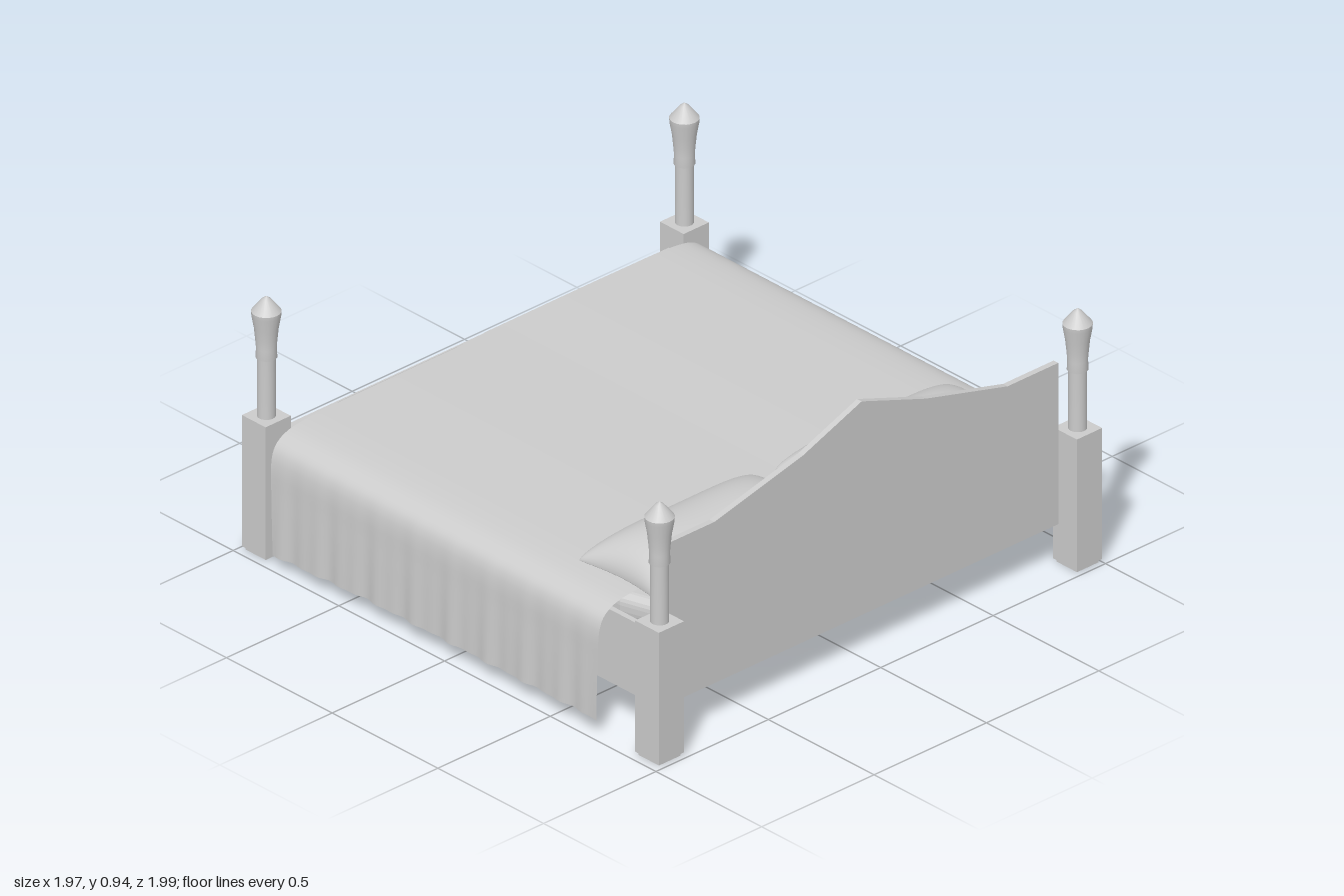
import * as THREE from 'three';
import { mergeVertices } from 'three/addons/utils/BufferGeometryUtils.js';

const grey = new THREE.MeshStandardMaterial({ color: 0xcccccc });
const cloth = new THREE.MeshStandardMaterial({ color: 0xcccccc, side: THREE.DoubleSide });

function add(parent, name, geometry, x = 0, y = 0, z = 0, material = grey) {
  const mesh = new THREE.Mesh(geometry, material);
  mesh.name = name;
  mesh.position.set(x, y, z);
  parent.add(mesh);
  return mesh;
}

const polygon = (points) => new THREE.Shape(points.map(([a, b]) => new THREE.Vector2(a, b)));

// Board drawn in (z, y) and extruded towards -x
function boardGeometry(shape, depth) {
  return new THREE.ExtrudeGeometry(shape, { depth, bevelEnabled: false }).rotateY(-Math.PI / 2);
}

// Raised rectangular moulding
function mouldingGeometry(w, h, border, depth) {
  const rect = (a, b) => [[-a, -b], [a, -b], [a, b], [-a, b]];
  const shape = polygon(rect(w / 2, h / 2));
  shape.holes.push(polygon(rect(w / 2 - border, h / 2 - border)));
  return boardGeometry(shape, depth);
}

// Square leg with a turned finial
function createPost() {
  const post = new THREE.Group();
  post.name = 'post';
  add(post, 'postFoot', new THREE.BoxGeometry(0.096, 0.012, 0.096), 0, 0.006, 0);
  add(post, 'postBlock', new THREE.BoxGeometry(0.112, 0.488, 0.112), 0, 0.256, 0);
  const profile = [[0.031, 0.5], [0.031, 0.715], [0.036, 0.72], [0.034, 0.755], [0.037, 0.79],
    [0.041, 0.83], [0.049, 0.875], [0.05, 0.89]];
  const lathe = (pts) => new THREE.LatheGeometry(pts.map(([r, y]) => new THREE.Vector2(r, y)), 20);
  add(post, 'postTurning', lathe(profile));
  add(post, 'postTip', lathe([[0.05, 0.89], [0.015, 0.934], [0, 0.945]]));
  return post;
}

// Soft cushion: pinched outline, domed top, shallow underside
function pillowGeometry(hx, hz) {
  let geo = new THREE.BoxGeometry(2, 2, 2, 28, 1, 36);
  const p = geo.attributes.position;
  for (let i = 0; i < p.count; i++) {
    // Crowd the grid towards the rim
    const s = Math.sin(p.getX(i) * Math.PI / 2), t = Math.sin(p.getZ(i) * Math.PI / 2);
    const dome = Math.sqrt(Math.max(0, (1 - s * s) * (1 - t ** 4)));
    const x = s * hx * (1 - 0.07 * (1 - t * t) - 0.05 * t ** 12 * s ** 12);
    const z = t * hz * (1 - 0.07 * (1 - s * s) - 0.02 * t ** 12 * s ** 12);
    p.setXYZ(i, x, p.getY(i) > 0 ? 0.125 * dome : -0.025 * dome, z);
  }
  geo.deleteAttribute('uv');
  geo.deleteAttribute('normal');
  geo = mergeVertices(geo, 1e-4);
  geo.computeVertexNormals();
  return geo;
}

// Cover draped over both long sides, rippling towards the hems
function blanketGeometry() {
  const side = (k, hem) => [[0.984, hem], [0.983, 0.15], [0.98, 0.28], [0.974, 0.39], [0.955, 0.435],
    [0.91, 0.465], [0.82, 0.481]].map(([z, y]) => new THREE.Vector3(0, y, k * z));
  const curve = new THREE.CatmullRomCurve3([
    ...side(-1, 0.042), new THREE.Vector3(0, 0.486, -0.6), new THREE.Vector3(0, 0.486, 0),
    new THREE.Vector3(0, 0.486, 0.6), ...side(1, 0.064).reverse()]);
  const nu = 90, nv = 64;
  const geo = new THREE.PlaneGeometry(1, 1, nu, nv);
  const p = geo.attributes.position;
  for (let j = 0; j <= nv; j++) {
    const c = curve.getPoint(j / nv);
    const drop = THREE.MathUtils.clamp((0.46 - c.y) / 0.4, 0, 1);
    const front = c.z > 0;
    for (let i = 0; i <= nu; i++) {
      const u = i / nu;
      const x0 = front ? -0.85 + 0.02 * drop : -0.862;
      const x1 = front ? 0.705 : 0.7 - 0.01 * drop;
      const x = x0 + (x1 - x0) * u;
      const ripple = drop * (0.004 * Math.sin(x * 38 + c.z) + 0.003 * Math.sin(x * 71 + 1));
      const sag = front ? -0.018 * drop * Math.max(0, 1 - u / 0.3) : 0;
      p.setXYZ(j * (nu + 1) + i, x, c.y + sag, c.z + Math.sign(c.z) * ripple);
    }
  }
  geo.computeVertexNormals();
  return geo;
}

export function createModel() {
  const bed = new THREE.Group();
  bed.name = 'bed';

  // Corner posts
  for (const x of [-0.93, 0.93]) {
    for (const z of [-0.942, 0.918]) {
      const post = createPost();
      post.position.set(x, 0, z);
      bed.add(post);
    }
  }

  // Closed base with footboard and side rails
  add(bed, 'bedBase', new THREE.BoxGeometry(1.78, 0.25, 1.76), -0.005, 0.276, -0.012);
  add(bed, 'footboard', new THREE.BoxGeometry(0.055, 0.27, 1.79), -0.9175, 0.285, -0.012);
  for (const z of [-0.9, 0.876]) {
    add(bed, 'sideRail', new THREE.BoxGeometry(1.79, 0.27, 0.02), 0.005, 0.285, z);
  }

  // Peaked headboard
  const crest = [[-0.885, 0.15], [0.865, 0.15], [0.865, 0.75], [0.645, 0.75], [0.25, 0.845],
    [-0.01, 0.945], [-0.295, 0.845], [-0.66, 0.75], [-0.885, 0.75]];
  add(bed, 'headboard', boardGeometry(polygon(crest), 0.022), 0.899);

  // Mouldings on the headboard and footboard
  for (const z of [-0.45, 0.45]) {
    add(bed, 'headboardMoulding', mouldingGeometry(0.36, 0.105, 0.018, 0.01), 0.877, 0.588, z - 0.005);
  }
  for (const [z, w] of [[-0.465, 0.31], [-0.14, 0.15], [0.14, 0.15], [0.475, 0.31]]) {
    add(bed, 'footboardMoulding', mouldingGeometry(w, 0.115, 0.018, 0.009), -0.945, 0.27, z);
  }

  // Mattress with clipped corners and a rounded rim
  const outline = [[-0.855, -0.66], [-0.825, -0.8], [-0.68, -0.85], [0.68, -0.85], [0.795, -0.815],
    [0.842, -0.73], [0.842, 0.71], [0.795, 0.795], [0.68, 0.83], [-0.68, 0.83], [-0.825, 0.78], [-0.855, 0.64]];
  const mattress = new THREE.ExtrudeGeometry(polygon(outline.map(([x, z]) => [x, -z]).reverse()), {
    depth: 0.02, bevelThickness: 0.04, bevelSize: 0.034, bevelSegments: 5 }).rotateX(-Math.PI / 2);
  add(bed, 'mattress', mattress, 0, 0.417, 0);

  // Bedding
  add(bed, 'blanket', blanketGeometry(), 0, 0, 0, cloth);
  for (const z of [-0.447, 0.425]) {
    add(bed, 'pillow', pillowGeometry(0.195, 0.398), 0.627, 0.486, z);
  }
  return bed;
}
